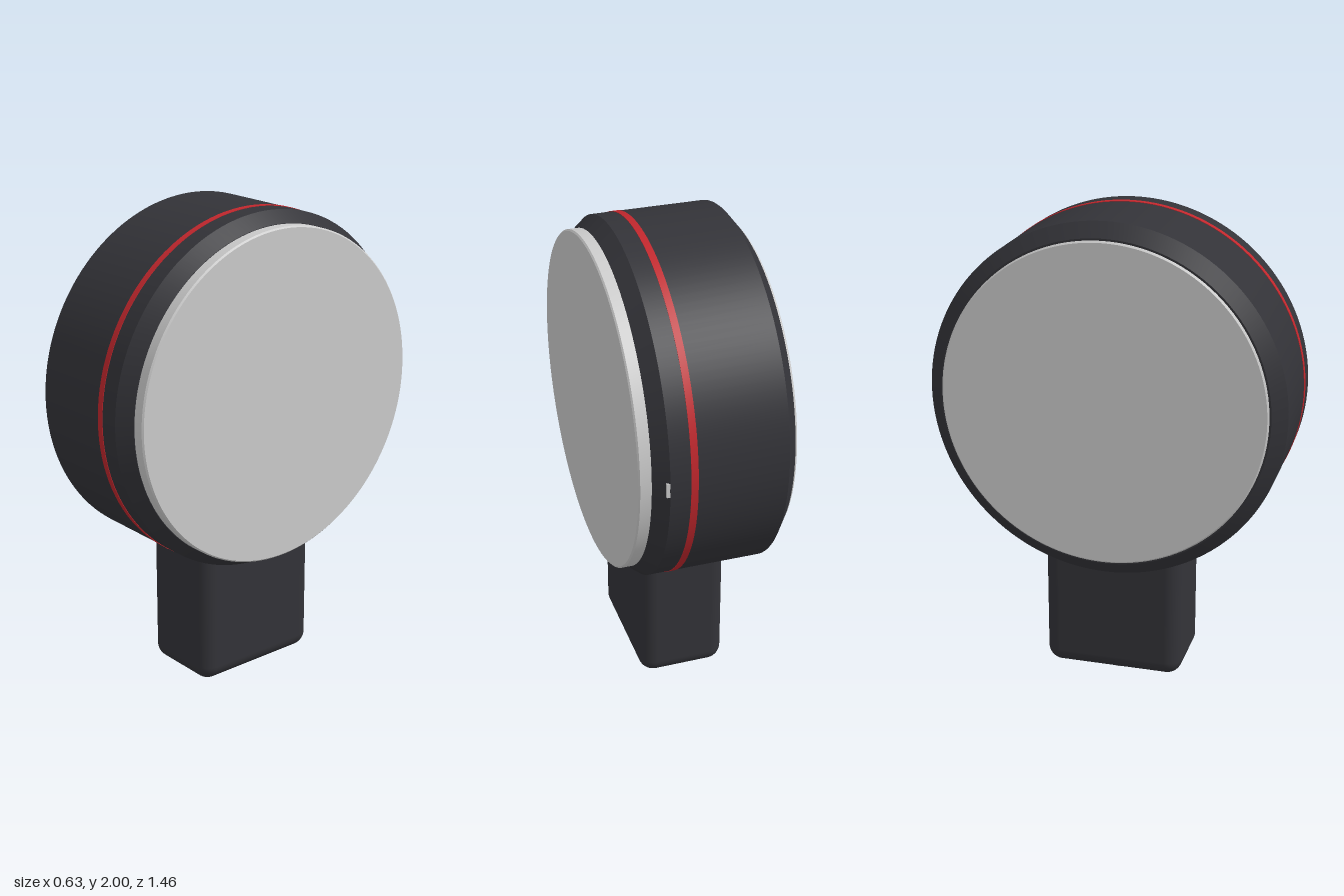
import * as THREE from 'three';
import { toCreasedNormals } from 'three/addons/utils/BufferGeometryUtils.js';
import { RoundedBoxGeometry } from 'three/addons/geometries/RoundedBoxGeometry.js';

const AXIS_Y = 1.27; // height of the drum's axis
const mat = (color) => new THREE.MeshStandardMaterial({ color });

export function createModel() {
  const group = new THREE.Group();
  const dark = mat(0x333338);
  const grey = mat(0xcccccc);
  const red = mat(0xc1272d);

  const add = (name, geometry, material, x, y, z) => {
    const mesh = new THREE.Mesh(geometry, material);
    mesh.name = name;
    mesh.position.set(x, y, z);
    group.add(mesh);
    return mesh;
  };
  // Turned part from [radius, height] pairs, lowest first
  const turned = (profile, segments = 128) =>
    toCreasedNormals(
      new THREE.LatheGeometry(profile.map(([r, h]) => new THREE.Vector2(r, h)), segments),
      0.4
    );
  // Turned part lying along x on the drum's axis
  const drumPart = (name, profile, material) => {
    add(name, turned(profile), material, 0, AXIS_Y, 0).rotation.z = -Math.PI / 2;
  };

  // Chamfered drum
  drumPart('housing', [
    [0, -0.303], [0.672, -0.303], [0.73, -0.258], [0.73, 0.208], [0.685, 0.265], [0, 0.265],
  ], dark);

  // Flat discs on both ends
  drumPart('leftCap', [[0, 0.26], [0.683, 0.26], [0.683, 0.309], [0.677, 0.315], [0, 0.315]], grey);
  drumPart('rightCap', [[0, -0.315], [0.658, -0.315], [0.664, -0.309], [0.664, -0.29], [0, -0.29]], grey);

  // Thin accent ring
  drumPart('accentRing', [[0.72, 0.1], [0.732, 0.1], [0.732, 0.128], [0.72, 0.128]], red);

  // Small indicator at the back of the drum
  add('indicator', new THREE.BoxGeometry(0.02, 0.06, 0.03), grey, 0.212, AXIS_Y, -0.714);

  // Rounded stem running up into the drum
  add('stem', new RoundedBoxGeometry(0.365, 0.75, 0.588, 6, 0.065), dark, 0.005, 0.412, 0);

  // Round foot under the stem
  add('foot', turned([[0, 0], [0.078, 0], [0.085, 0.007], [0.085, 0.06], [0, 0.06]], 48), grey, 0.01, 0, 0);

  return group;
}
